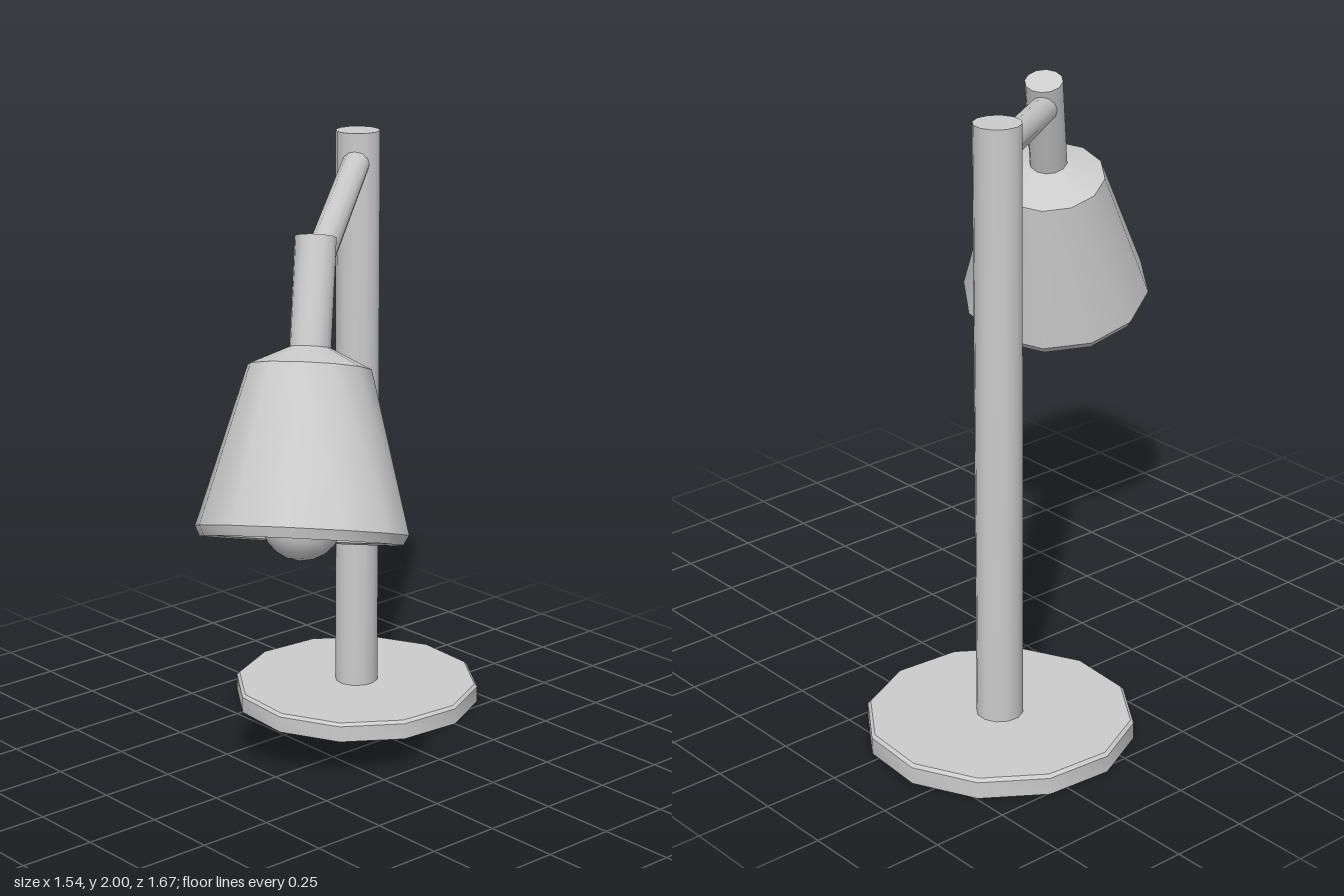
import * as THREE from 'three';
import { toCreasedNormals } from 'three/addons/utils/BufferGeometryUtils.js';

const SIDES = 12;
const rad = THREE.MathUtils.degToRad;

export function createModel() {
  const material = new THREE.MeshStandardMaterial({ color: 0xcccccc });

  function part(name, geometry, parent) {
    const mesh = new THREE.Mesh(toCreasedNormals(geometry, rad(34)), material);
    mesh.name = name;
    parent.add(mesh);
    return mesh;
  }
  const turned = (points) =>
    new THREE.LatheGeometry(points.map(([r, y]) => new THREE.Vector2(r, y)), SIDES);

  // Round rod between two points
  function rod(name, from, to, radius, parent) {
    const a = new THREE.Vector3(...from);
    const b = new THREE.Vector3(...to);
    const mesh = part(name, new THREE.CylinderGeometry(radius, radius, a.distanceTo(b), SIDES), parent);
    mesh.position.copy(a).add(b).multiplyScalar(0.5);
    mesh.quaternion.setFromUnitVectors(new THREE.Vector3(0, 1, 0), b.sub(a).normalize());
    return mesh;
  }

  // The lamp is built with its arm along +z, then turned to the diagonal
  const lamp = new THREE.Group();
  lamp.name = 'deskLamp';
  lamp.position.set(-0.355, 0, -0.422);
  lamp.rotation.y = rad(40.5);

  // Base disc with a bevelled upper edge
  part('base', turned([[0, 0], [0.425, 0], [0.425, 0.055], [0.415, 0.065], [0, 0.065]]), lamp);

  // Upright pole and sloping arm
  rod('pole', [0, 0.06, 0], [0, 2, 0], 0.074, lamp);
  rod('arm', [0, 1.905, 0], [0, 1.747, 0.99], 0.046, lamp);

  // Tilted head; its origin is the centre of the shade's upper ring
  const head = new THREE.Group();
  head.name = 'head';
  head.position.set(0, 1.48, 1.087);
  head.rotation.x = rad(-20);
  lamp.add(head);

  rod('neck', [0, 0.03, 0], [0, 0.39, 0], 0.063, head);

  // Hollow shade: inner wall, lip, outer wall, shallow cone on top
  part('shade', turned([
    [0, -0.03], [0.165, -0.035], [0.285, -0.51], [0.305, -0.515],
    [0.321, -0.485], [0.187, 0], [0.06, 0.06],
  ]), head);

  // Bulb and its socket
  rod('socket', [0, -0.37, 0], [0, -0.02, 0], 0.06, head);
  const bulb = part('bulb', new THREE.SphereGeometry(0.125, 16, 10), head);
  bulb.position.y = -0.45;

  const model = new THREE.Group();
  model.name = 'model';
  model.add(lamp);
  return model;
}
